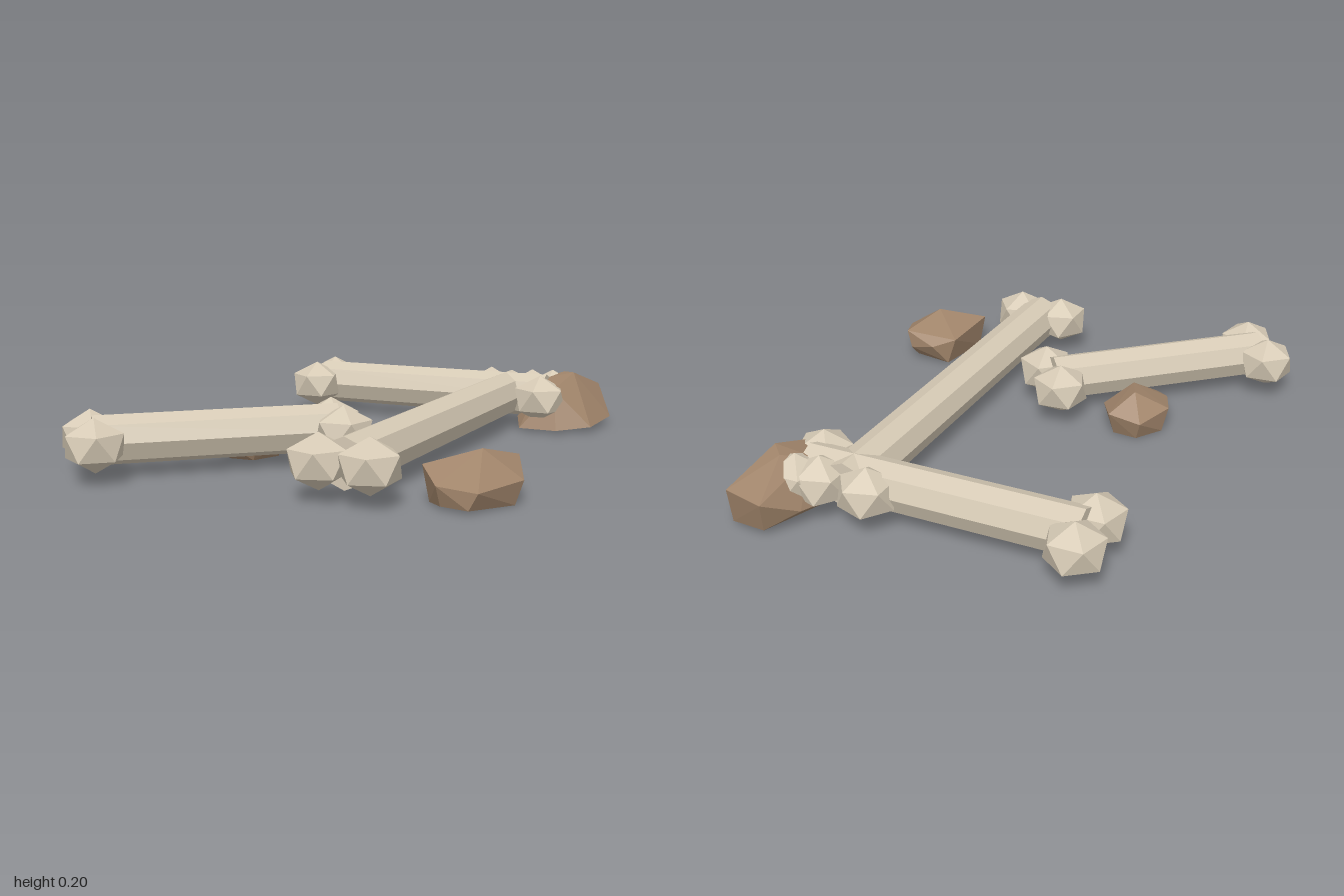
import * as THREE from 'three';
import { ConvexGeometry } from 'three/addons/geometries/ConvexGeometry.js';

const boneMat = new THREE.MeshStandardMaterial({ color: 0xd6cab5, flatShading: true });
boneMat.name = 'bone';
const rockMat = new THREE.MeshStandardMaterial({ color: 0xa0846a, flatShading: true });
rockMat.name = 'brown rock';

const BONE_Y = 0.112;

// Icosahedron stood on one corner, slightly flattened
function knobGeometry() {
  const geo = new THREE.IcosahedronGeometry(1);
  const corner = new THREE.Vector3(0, 1, (1 + Math.sqrt(5)) / 2).normalize();
  geo.applyQuaternion(new THREE.Quaternion().setFromUnitVectors(corner, new THREE.Vector3(0, 1, 0)));
  return geo.scale(0.1, 0.084, 0.1);
}

// Bone lying flat between two [x, z] ends, with a pair of knobs at each end
function makeBone(name, [x0, z0], [x1, z1]) {
  const bone = new THREE.Group();
  bone.name = name;
  const length = Math.hypot(x1 - x0, z1 - z0);
  const shaftGeo = new THREE.CylinderGeometry(0.077, 0.077, length, 8);
  const shaft = new THREE.Mesh(shaftGeo.rotateZ(Math.PI / 2), boneMat);
  shaft.name = 'shaft';
  bone.add(shaft);
  const knobGeo = knobGeometry();
  for (const end of [-1, 1]) {
    for (const side of [-1, 1]) {
      const knob = new THREE.Mesh(knobGeo, boneMat);
      knob.name = 'knob';
      knob.position.set(end * length / 2, 0, side * 0.08);
      bone.add(knob);
    }
  }
  bone.position.set((x0 + x1) / 2, BONE_Y, (z0 + z1) / 2);
  bone.rotation.y = -Math.atan2(z1 - z0, x1 - x0);
  return bone;
}

// Faceted rock wrapped around a few corner points
function makeRock(name, corners) {
  const rock = new THREE.Mesh(new ConvexGeometry(corners.map((c) => new THREE.Vector3(...c))), rockMat);
  rock.name = name;
  return rock;
}

export function createModel() {
  const group = new THREE.Group();
  group.name = 'bonesAndRocks';

  group.add(
    makeBone('longBone', [-0.59, 0.405], [0.735, 0]),
    makeBone('backBone', [0.44, -0.68], [0.722, 0.165]),
    makeBone('shortBone', [-0.87, -0.375], [-0.22, 0.02]),
  );

  group.add(
    makeRock('largeRock', [
      [0.58, 0.01, 0.15], [0.62, 0.01, 0.28], [0.72, 0.02, 0.36], [0.91, 0.03, 0.32],
      [0.98, 0.01, 0.22], [1.0, 0.13, 0.21], [0.98, 0.12, 0.08], [0.96, 0.02, 0.1],
      [0.86, 0.06, 0.05], [0.68, 0.03, 0.07], [0.66, 0.15, 0.24], [0.8, 0.195, 0.23],
      [0.83, 0.19, 0.17], [0.75, 0.17, 0.13], [0.82, 0, 0.28], [0.7, 0, 0.15], [0.9, 0, 0.17],
    ]),
    makeRock('frontRock', [
      [-0.49, 0.07, 0.65], [-0.44, 0.11, 0.56], [-0.24, 0.09, 0.52], [-0.17, 0.07, 0.57],
      [-0.15, 0.11, 0.68], [-0.15, 0.05, 0.66], [-0.27, 0.07, 0.785], [-0.45, 0.06, 0.765],
      [-0.31, 0.15, 0.67], [-0.46, 0.01, 0.74], [-0.29, 0, 0.77], [-0.2, 0, 0.68],
      [-0.22, 0, 0.54], [-0.42, 0, 0.57], [-0.47, 0.01, 0.65],
    ]),
    makeRock('backRock', [
      [-0.46, 0.06, -0.29], [-0.36, 0.08, -0.37], [-0.23, 0.06, -0.35], [-0.19, 0.08, -0.25],
      [-0.29, 0.05, -0.15], [-0.4, 0.06, -0.16], [-0.47, 0.06, -0.24], [-0.29, 0.135, -0.28],
      [-0.36, 0.125, -0.22], [-0.42, 0, -0.27], [-0.34, 0, -0.36], [-0.24, 0, -0.33],
      [-0.22, 0, -0.25], [-0.29, 0, -0.18], [-0.39, 0, -0.19],
    ]),
  );
  return group;
}
